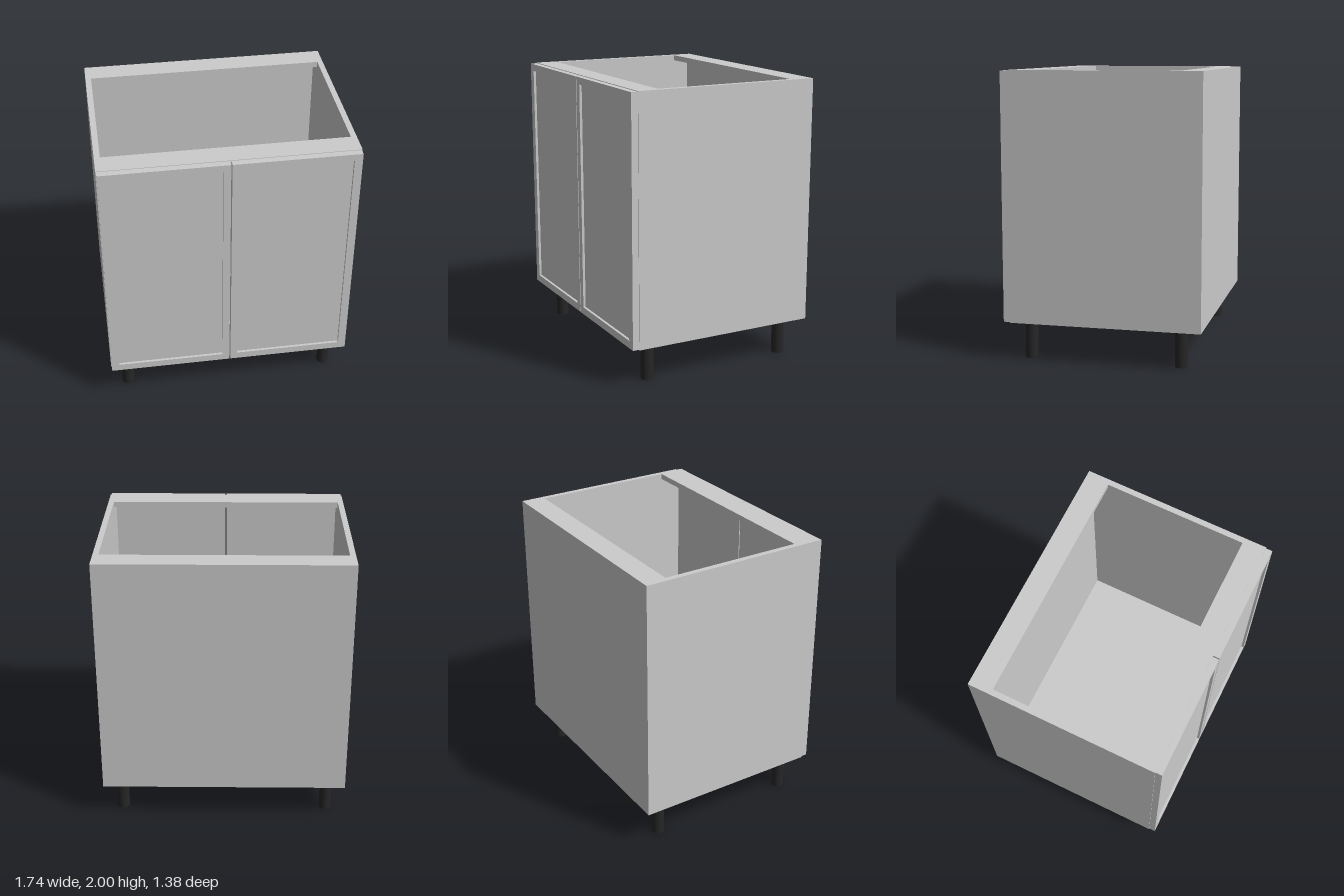
import * as THREE from 'three';

const grey = new THREE.MeshStandardMaterial({ color: 0xcccccc });
const black = new THREE.MeshStandardMaterial({ color: 0x262626 });

// Box given by its minimum and maximum corners
function board(name, [x0, y0, z0], [x1, y1, z1]) {
  const geo = new THREE.BoxGeometry(x1 - x0, y1 - y0, z1 - z0);
  geo.translate((x0 + x1) / 2, (y0 + y1) / 2, (z0 + z1) / 2);
  const mesh = new THREE.Mesh(geo, grey);
  mesh.name = name;
  return mesh;
}

// Counter-clockwise rectangle, as a shape or as a hole
function rect(Type, x0, y0, x1, y1) {
  return new Type([[x0, y0], [x1, y0], [x1, y1], [x0, y1]].map(p => new THREE.Vector2(...p)));
}

const W = 0.87, T = 0.04, INNER = W - T;
const BOTTOM = 0.265, TOP = 2, BACK = -0.693, FRONT = 0.643, DOOR_FRONT = 0.69;

// Framed door with a recessed centre panel; side is +1 or -1
function door(side) {
  const group = new THREE.Group();
  group.name = side > 0 ? 'leftDoor' : 'rightDoor';
  const span = (a, b) => (side > 0 ? [a, b] : [-b, -a]);
  const [x0, x1] = span(0.004, W - 0.005);
  const [h0, h1] = span(0.054, 0.81);
  const shape = rect(THREE.Shape, x0, BOTTOM + 0.004, x1, TOP - 0.004);
  shape.holes.push(rect(THREE.Path, h0, 0.322, h1, 1.945));
  const geo = new THREE.ExtrudeGeometry(shape, { depth: DOOR_FRONT - FRONT, bevelEnabled: false });
  geo.translate(0, 0, FRONT);
  const frame = new THREE.Mesh(geo, grey);
  frame.name = 'doorFrame';
  group.add(frame, board('doorPanel', [h0, 0.322, FRONT], [h1, 1.945, DOOR_FRONT - 0.018]));
  return group;
}

export function createModel() {
  const model = new THREE.Group();
  model.name = 'baseCabinet';

  // Open-topped carcass
  model.add(
    board('leftSide', [INNER, BOTTOM, BACK], [W, TOP, FRONT]),
    board('rightSide', [-W, BOTTOM, BACK], [-INNER, TOP, FRONT]),
    board('bottomPanel', [-INNER, BOTTOM, BACK + T], [INNER, BOTTOM + T, FRONT]),
    board('backPanel', [-INNER, BOTTOM, BACK], [INNER, TOP - T, BACK + T]),
    board('backRail', [-INNER, TOP - T, BACK], [INNER, TOP, -0.53]),
    board('frontRail', [-INNER, TOP - T, 0.485], [INNER, TOP, FRONT])
  );

  // Doors and legs, mirrored
  for (const side of [-1, 1]) {
    model.add(door(side));
    for (const z of [0.525, -0.54]) {
      const leg = new THREE.Mesh(new THREE.CylinderGeometry(0.044, 0.044, BOTTOM, 32), black);
      leg.name = z > 0 ? 'frontLeg' : 'backLeg';
      leg.position.set(side * 0.745, BOTTOM / 2, z);
      model.add(leg);
    }
  }
  return model;
}
